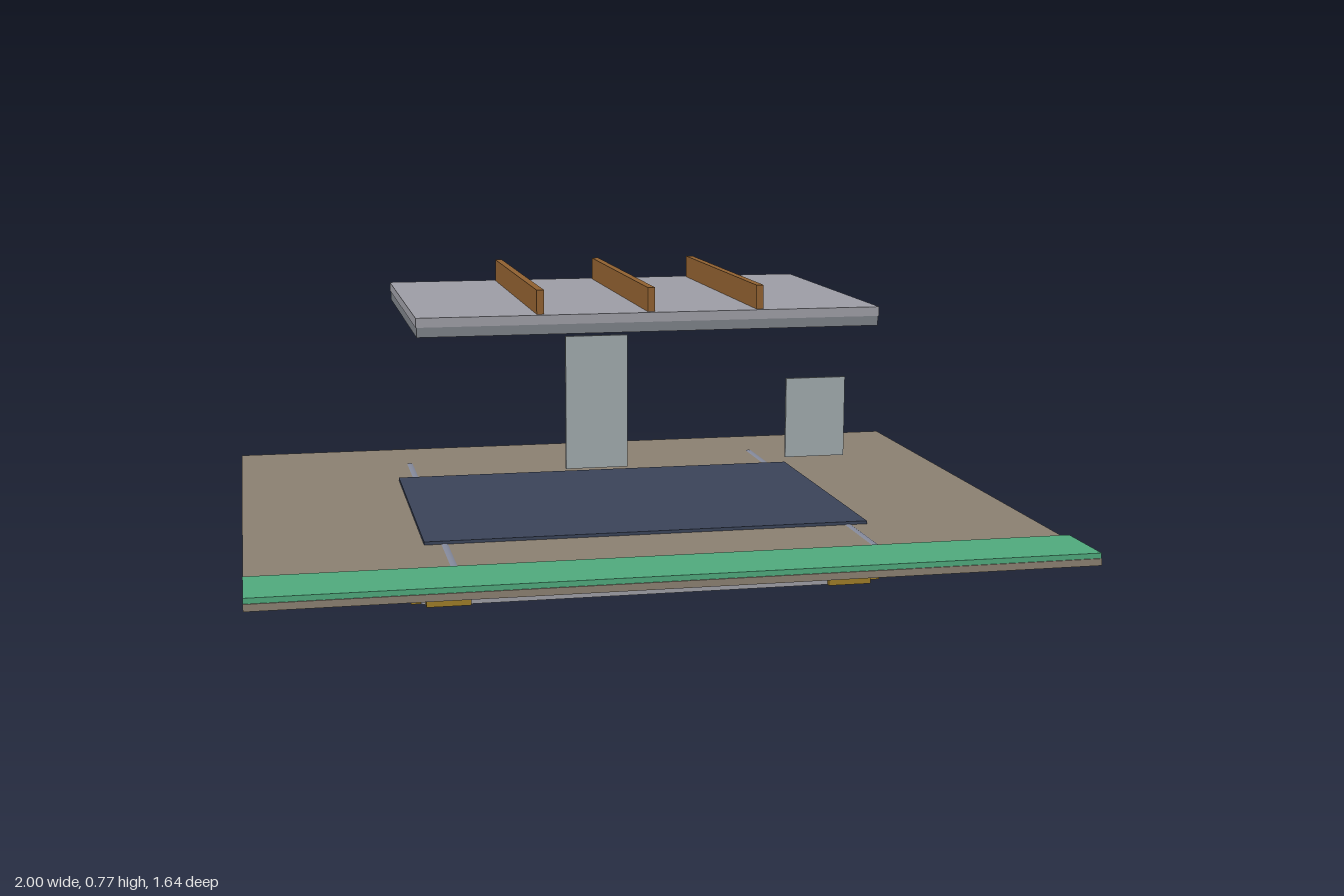
import * as THREE from 'three';

const mat = (color, rough = false) => {
  const m = new THREE.MeshStandardMaterial({ color });
  return m;
};
const metal = mat(0x9c9ca4), darkMetal = mat(0x7c8087), gold = mat(0x9c7c28);
const wood = mat(0x8f6030), earth = mat(0x8a7f70), green = mat(0x4fa87c);
const navy = mat(0x3a4358), plate = mat(0x9fa8ab), steel = mat(0x83889a);

export function createModel() {
  const model = new THREE.Group();

  const add = (parent, name, geometry, material) => {
    const mesh = new THREE.Mesh(geometry, material);
    mesh.name = name;
    parent.add(mesh);
    return mesh;
  };

  // Box given by its limits on each axis
  const box = (parent, name, [x0, x1], [y0, y1], [z0, z1], material) => {
    const mesh = add(parent, name, new THREE.BoxGeometry(x1 - x0, y1 - y0, z1 - z0), material);
    mesh.position.set((x0 + x1) / 2, (y0 + y1) / 2, (z0 + z1) / 2);
    return mesh;
  };

  // Horizontal slab with rounded corners
  const roundedSlab = (parent, name, hx, hz, r, y0, y1, material) => {
    const s = new THREE.Shape();
    s.moveTo(hx, -hz + r);
    s.absarc(hx - r, hz - r, r, 0, Math.PI / 2);
    s.absarc(-hx + r, hz - r, r, Math.PI / 2, Math.PI);
    s.absarc(-hx + r, -hz + r, r, Math.PI, Math.PI * 1.5);
    s.absarc(hx - r, -hz + r, r, Math.PI * 1.5, Math.PI * 2);
    const g = new THREE.ExtrudeGeometry(s, { depth: y1 - y0, bevelEnabled: false, curveSegments: 8 });
    g.rotateX(-Math.PI / 2);
    g.translate(0, y0, 0);
    return add(parent, name, g, material);
  };

  // Deck with the strip along its front edge and the dark panel
  box(model, 'deck', [-1, 1], [0.13, 0.147], [-0.82, 0.82], earth);
  box(model, 'frontStrip', [-1, 1], [0.147, 0.16], [0.635, 0.817], green);
  box(model, 'darkPanel', [-0.565, 0.565], [0.147, 0.155], [-0.377, 0.377], navy);

  // Tray hanging under the deck
  const tray = new THREE.Group();
  tray.name = 'tray';
  model.add(tray);
  roundedSlab(tray, 'trayBase', 0.588, 0.403, 0.06, 0, 0.065, metal);
  roundedSlab(tray, 'trayWall', 0.575, 0.39, 0.055, 0.065, 0.11, darkMetal);
  roundedSlab(tray, 'trayRim', 0.59, 0.405, 0.06, 0.11, 0.13, gold);

  // Split angle bracket at each corner
  for (const sx of [-1, 1]) {
    for (const sz of [-1, 1]) {
      const bracket = new THREE.Group();
      bracket.name = 'cornerBracket';
      tray.add(bracket);
      const span = (s, a, b) => (s > 0 ? [a, b] : [-b, -a]);
      box(bracket, 'bracketFace', span(sx, 0.455, 0.565), [0, 0.13], span(sz, 0.385, 0.415), gold);
      box(bracket, 'bracketSide', span(sx, 0.57, 0.6), [0, 0.13], span(sz, 0.275, 0.38), gold);
      box(bracket, 'bracketCorner', span(sx, 0.54, 0.586), [0.062, 0.13], span(sz, 0.355, 0.401), gold);
    }
  }

  // Long rods running front to back
  for (const x of [-0.515, 0.515]) {
    const rod = add(model, 'rod', new THREE.CylinderGeometry(0.019, 0.019, 1.2, 20), steel);
    rod.rotation.x = Math.PI / 2;
    rod.position.set(x, 0.13, 0);
  }

  // Upright plates
  box(model, 'tallPlate', [-0.09, 0.088], [0.166, 0.548], [-0.36, -0.35], plate);
  box(model, 'sidePlate', [0.455, 0.62], [0.25, 0.467], [-0.004, 0.004], plate);

  // Raised lid with three ribs
  const lid = new THREE.Group();
  lid.name = 'lid';
  model.add(lid);
  box(lid, 'lidTop', [-0.577, 0.577], [0.684, 0.707], [-0.396, 0.396], metal);
  box(lid, 'lidSkirt', [-0.575, 0.575], [0.66, 0.684], [-0.394, 0.394], darkMetal);
  for (const x of [-0.274, 0, 0.274]) {
    box(lid, 'rib', [x - 0.009, x + 0.009], [0.707, 0.766], [-0.379, 0.379], wood);
  }

  return model;
}
